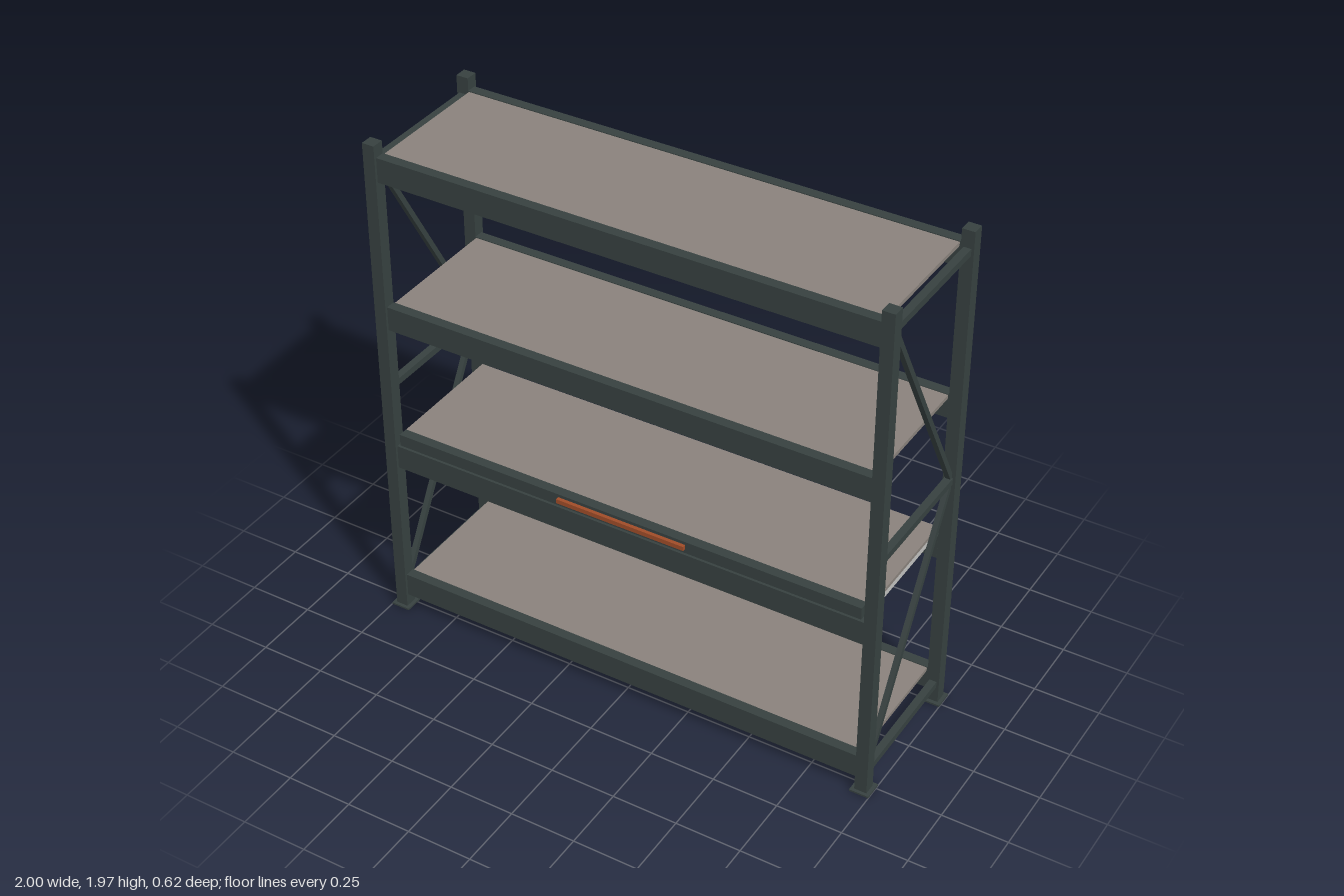
import * as THREE from 'three';

const flat = (name, color) => {
  const m = new THREE.MeshStandardMaterial({ color });
  m.name = name;
  return m;
};

export function createModel() {
  const steel = flat('dark steel', 0x374140);
  const board = flat('shelf board', 0x8a827c);
  const rail = flat('light rail', 0xc2c2c0);
  const orange = flat('handle orange', 0xa04c28);

  const root = new THREE.Group();
  root.name = 'shelvingRack';

  // Box given by its ranges along x, y and z
  const box = (name, mat, [x0, x1], [y0, y1], [z0, z1], parent = root) => {
    const mesh = new THREE.Mesh(new THREE.BoxGeometry(x1 - x0, y1 - y0, z1 - z0), mat);
    mesh.position.set((x0 + x1) / 2, (y0 + y1) / 2, (z0 + z1) / 2);
    mesh.name = name;
    parent.add(mesh);
    return mesh;
  };
  // Range of width w around c
  const around = (c, w) => [c - w / 2, c + w / 2];

  // End frames: posts, base plates, cross bars and diagonals
  for (const s of [-1, 1]) {
    const frame = new THREE.Group();
    frame.name = s > 0 ? 'leftFrame' : 'rightFrame';
    root.add(frame);
    const x = s * 0.963;

    for (const t of [-1, 1]) {
      box('post', steel, around(x, 0.047), [0, 1.97], around(t * 0.272, 0.047), frame);
      box('basePlate', steel, around(x, 0.074), [0, 0.007], around(t * 0.271, 0.074), frame);
    }
    for (const y of [0.084, 0.989, 1.892]) {
      box('crossBar', steel, around(x, 0.028), around(y, 0.026), [-0.25, 0.25], frame);
    }
    for (const [yFront, yBack] of [[1.88, 1.0], [0.1, 0.978]]) {
      const dy = yBack - yFront, dz = -0.5;
      const bar = new THREE.Mesh(new THREE.BoxGeometry(0.02, Math.hypot(dy, dz), 0.02), steel);
      bar.position.set(x, (yFront + yBack) / 2, 0);
      bar.rotation.x = Math.atan2(dz, dy);
      bar.name = 'diagonalBrace';
      frame.add(bar);
    }
  }

  // Front and back beams on four levels
  for (const top of [0.15, 0.74, 1.332, 1.922]) {
    for (const t of [-1, 1]) {
      box('beam', steel, [-0.94, 0.94], [top - 0.094, top], around(t * 0.267, 0.038));
    }
    // The second level carries a pull-out shelf instead of a fixed board
    if (top !== 0.74) {
      box('shelfBoard', board, [-0.936, 0.936], [top - 0.018, top - 0.003], [-0.248, 0.248]);
    }
  }

  // Pull-out shelf with side rails, front panel and handle
  const drawer = new THREE.Group();
  drawer.name = 'pullOutShelf';
  root.add(drawer);
  box('drawerBoard', board, [-0.936, 0.936], [0.768, 0.782], [-0.248, 0.248], drawer);
  for (const s of [-1, 1]) {
    box('slideRail', rail, around(s * 0.926, 0.018), [0.744, 0.768], [-0.248, 0.248], drawer);
  }
  box('drawerFront', steel, [-0.925, 0.925], [0.749, 0.796], [0.248, 0.286], drawer);
  box('handle', orange, [-0.255, 0.255], [0.767, 0.784], [0.286, 0.3], drawer);

  return root;
}
